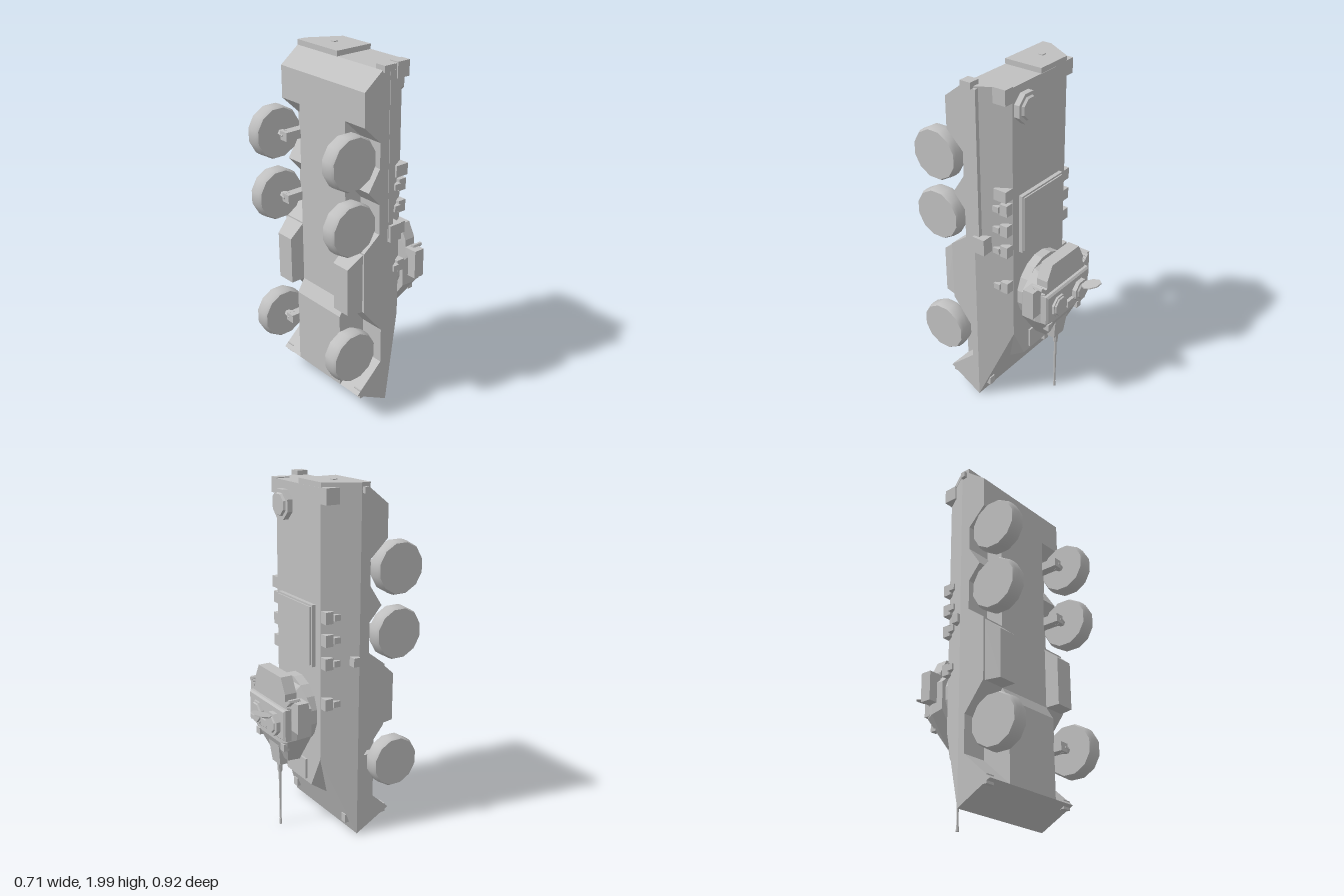
import * as THREE from 'three';
import { ConvexGeometry } from 'three/addons/geometries/ConvexGeometry.js';

export function createModel() {
  const model = new THREE.Group();
  const grey = new THREE.MeshStandardMaterial({ color: 0xc0c0c0 });
  grey.name = 'plain grey';

  const add = (name, geo) => {
    const mesh = new THREE.Mesh(geo, grey);
    mesh.name = name;
    model.add(mesh);
    return mesh;
  };
  // Box from its limits on each axis
  const box = (name, x0, x1, y0, y1, z0, z1) => add(name,
    new THREE.BoxGeometry(Math.abs(x1 - x0), y1 - y0, Math.abs(z1 - z0))
      .translate((x0 + x1) / 2, (y0 + y1) / 2, (z0 + z1) / 2));
  // Convex solid from half of its corners, mirrored in x
  const solid = (name, half) => add(name, new ConvexGeometry(
    half.flatMap(([x, y, z]) => [new THREE.Vector3(x, y, z), new THREE.Vector3(-x, y, z)])));
  // Side profile of [z, y] points, extruded from x0 to x1
  const slab = (name, profile, x0, x1) => add(name, new THREE.ExtrudeGeometry(
    new THREE.Shape(profile.map(p => new THREE.Vector2(...p))), { depth: x1 - x0, bevelEnabled: false })
    .rotateY(-Math.PI / 2).translate(x1, 0, 0));
  const faceted = geo => {
    const g = geo.toNonIndexed();
    g.computeVertexNormals();
    return g;
  };
  // Low disc standing on the roof, axis along -z
  const disc = (name, x, y, z0, z1, r0, r1, n = 8) => add(name,
    faceted(new THREE.CylinderGeometry(r1, r0, z0 - z1, n, 1, false, Math.PI / n))
      .rotateX(-Math.PI / 2).translate(x, y, (z0 + z1) / 2));

  // Hull
  solid('upperHull', [
    [0.335, 0.01, 0.065], [0.335, 0.029, 0.1], [0.23, 0.47, -0.115],
    [0.23, 1.96, -0.115], [0.335, 1.96, 0.065], [0.335, 1.96, 0.1]]);
  slab('belly', [
    [0.1, 0.029], [0.275, 0.125], [0.275, 0.57], [0.23, 0.645],
    [0.23, 1.87], [0.115, 1.96], [0.1, 1.96]], -0.185, 0.185);
  const skirt = [
    [0.1, 0.029], [0.275, 0.125], [0.105, 0.28], [0.105, 0.49], [0.23, 0.645], [0.23, 1.0],
    [0.125, 1.08], [0.125, 1.25], [0.2, 1.335], [0.125, 1.45], [0.125, 1.59],
    [0.23, 1.69], [0.23, 1.87], [0.115, 1.96], [0.1, 1.96]];
  slab('leftSkirt', skirt, 0.185, 0.335);
  slab('rightSkirt', skirt, -0.335, -0.185);
  solid('driverBlock', [
    [0.135, 0.2, 0.0], [0.135, 0.28, -0.115], [0.23, 0.47, -0.115], [0.2, 0.5, 0], [0.135, 0.22, 0.03]]);
  box('driverHatch', -0.09, 0.09, 0.3, 0.42, -0.126, -0.11);

  for (const s of [1, -1]) {
    // Sponson box between the wheels
    add('sponson', new ConvexGeometry([
      [0.185, 0.645, 0.2], [0.185, 1.0, 0.22], [0.185, 0.645, 0.315], [0.185, 0.92, 0.315],
      [0.3, 0.645, 0.315], [0.3, 0.92, 0.315], [0.327, 0.645, 0.2], [0.327, 1.0, 0.22]]
      .map(([x, y, z]) => new THREE.Vector3(s * x, y, z))));

    // Wheels with their axles
    for (const y of [0.405, 1.165, 1.525]) {
      const tread = [[0.14, -0.045], [0.148, -0.03], [0.15, 0], [0.148, 0.03], [0.14, 0.045]]
        .map(p => new THREE.Vector2(...p));
      const place = g => g.rotateY(Math.PI / 12).rotateZ(Math.PI / 2).translate(s * 0.31, y, 0.31);
      add('tyre', place(new THREE.LatheGeometry(tread, 12)));
      add('wheelDisc', place(new THREE.CylinderGeometry(0.14, 0.14, 0.09, 12)));
      box('suspensionArm', s * 0.18, s * 0.235, y - 0.025, y + 0.025, 0.14, 0.325);
      add('axle', faceted(new THREE.CylinderGeometry(0.018, 0.03, 0.06, 6))
        .rotateZ(-s * Math.PI / 2).translate(s * 0.245, y, 0.3));
    }

    // Vision blocks along the roof edge
    for (const y of [0.805, 1.035, 1.165, 1.29]) {
      box('visionBlock', s * 0.22, s * 0.28, y - 0.033, y + 0.033, -0.113, -0.065);
      box('visionPort', s * 0.25, s * 0.293, y - 0.017, y + 0.017, -0.066, -0.027);
    }

    // Nose lamps and towing blocks
    box('noseLamp', s * 0.25, s * 0.29, 0.07, 0.12, 0.015, 0.06);
    box('towBlock', s * 0.28, s * 0.335, 0.1, 0.15, 0.18, 0.255);
    box('rearCornerBox', s * 0.225, s * 0.285, 1.88, 1.965, -0.115, -0.035);
  }

  // Fittings found on one side only
  box('sideRail', 0.3, 0.338, 1.02, 1.95, 0.03, 0.065);
  box('leftSideBox', 0.285, 0.355, 1.02, 1.115, -0.015, 0.063);
  box('leftRoofBox', 0.22, 0.29, 1.345, 1.41, -0.115, -0.035);
  box('rightSideBox', -0.352, -0.3, 1.02, 1.07, 0.02, 0.06);
  box('leftTailLamp', 0.285, 0.35, 1.95, 1.985, 0.05, 0.115);
  box('rightTailLamp', -0.355, -0.31, 1.935, 1.968, 0.07, 0.1);

  // Rear door, following the edge of the hull
  add('rearDoor', new THREE.ExtrudeGeometry(new THREE.Shape(
    [[-0.237, 0.105], [-0.335, -0.062], [-0.335, -0.116], [-0.008, -0.116], [-0.008, 0.114], [-0.232, 0.114]]
      .map(p => new THREE.Vector2(...p))), { depth: 0.032, bevelEnabled: false })
    .rotateX(-Math.PI / 2).translate(0, 1.957, 0));
  box('doorHandle', -0.183, -0.155, 1.98, 1.994, -0.014, 0.014);

  // Roof plate and rear hatch
  box('roofPlate', -0.18, 0.18, 1.0, 1.345, -0.138, -0.11);
  box('roofPlateTop', -0.17, 0.17, 1.01, 1.335, -0.146, -0.13);
  disc('rearHatchRing', 0.135, 1.835, -0.11, -0.147, 0.087, 0.087);
  disc('rearHatchLid', 0.135, 1.835, -0.14, -0.16, 0.07, 0.06);

  // Turret
  disc('turretRing', 0, 0.715, -0.11, -0.17, 0.2, 0.2, 16);
  solid('turretBody', [
    [0.11, 0.88, -0.165], [0.22, 0.78, -0.165], [0.22, 0.62, -0.165], [0.09, 0.435, -0.165],
    [0.12, 0.86, -0.25], [0.21, 0.79, -0.25], [0.21, 0.61, -0.25], [0.09, 0.44, -0.24],
    [0.17, 0.83, -0.3], [0.19, 0.8, -0.3], [0.19, 0.6, -0.3], [0.11, 0.57, -0.3]]);
  solid('turretRoof', [
    [0.2, 0.61, -0.28], [0.2, 0.79, -0.28], [0.2, 0.61, -0.315], [0.2, 0.79, -0.315],
    [0.19, 0.62, -0.325], [0.19, 0.78, -0.325]]);
  solid('rearBin', [
    [0.17, 0.82, -0.23], [0.17, 0.82, -0.3], [0.17, 0.87, -0.23], [0.17, 0.87, -0.3],
    [0.125, 0.955, -0.23], [0.125, 0.955, -0.3]]);

  // Turret hatches, one lid standing open
  disc('commanderRing', -0.1, 0.69, -0.31, -0.35, 0.068, 0.068);
  disc('commanderCollar', -0.1, 0.69, -0.345, -0.358, 0.055, 0.045);
  disc('gunnerRing', 0.095, 0.69, -0.31, -0.338, 0.068, 0.068);
  disc('gunnerLid', 0.095, 0.69, -0.33, -0.347, 0.062, 0.055);
  box('periscope', -0.03, 0.03, 0.64, 0.68, -0.345, -0.31);
  const lid = add('openLid', faceted(new THREE.CylinderGeometry(0.058, 0.058, 0.007, 8, 1, false, Math.PI / 8)));
  lid.position.set(-0.1, 0.757, -0.41);
  lid.rotation.x = 0.27;

  for (const s of [1, -1]) {
    box('turretSideBox', s * 0.19, s * 0.27, 0.67, 0.84, -0.278, -0.212);
    // Smoke launchers
    for (let i = 0; i < 3; i++) {
      const tube = add('smokeTube', faceted(new THREE.CylinderGeometry(0.012, 0.012, 0.065, 6)));
      tube.position.set(s * (0.19 + i * 0.014), 0.82 + i * 0.012, -0.272);
      tube.rotation.set(Math.PI / 2, 0, s * 0.4, 'ZXY');
    }
    box('turretLamp', s * 0.12, s * 0.16, 0.535, 0.575, -0.305, -0.27);
  }

  // Gun
  solid('mantlet', [
    [0.045, 0.4, -0.22], [0.045, 0.4, -0.265], [0.06, 0.56, -0.2], [0.06, 0.56, -0.285]]);
  const barrel = (name, y0, y1, r0, r1) => add(name,
    faceted(new THREE.CylinderGeometry(r1, r0, y1 - y0, 8)).translate(0, (y0 + y1) / 2, -0.243));
  barrel('gunSleeve', 0.34, 0.46, 0.013, 0.022);
  barrel('gunBarrel', 0.01, 0.36, 0.005, 0.009);
  barrel('muzzle', 0.005, 0.04, 0.009, 0.007);

  return model;
}
